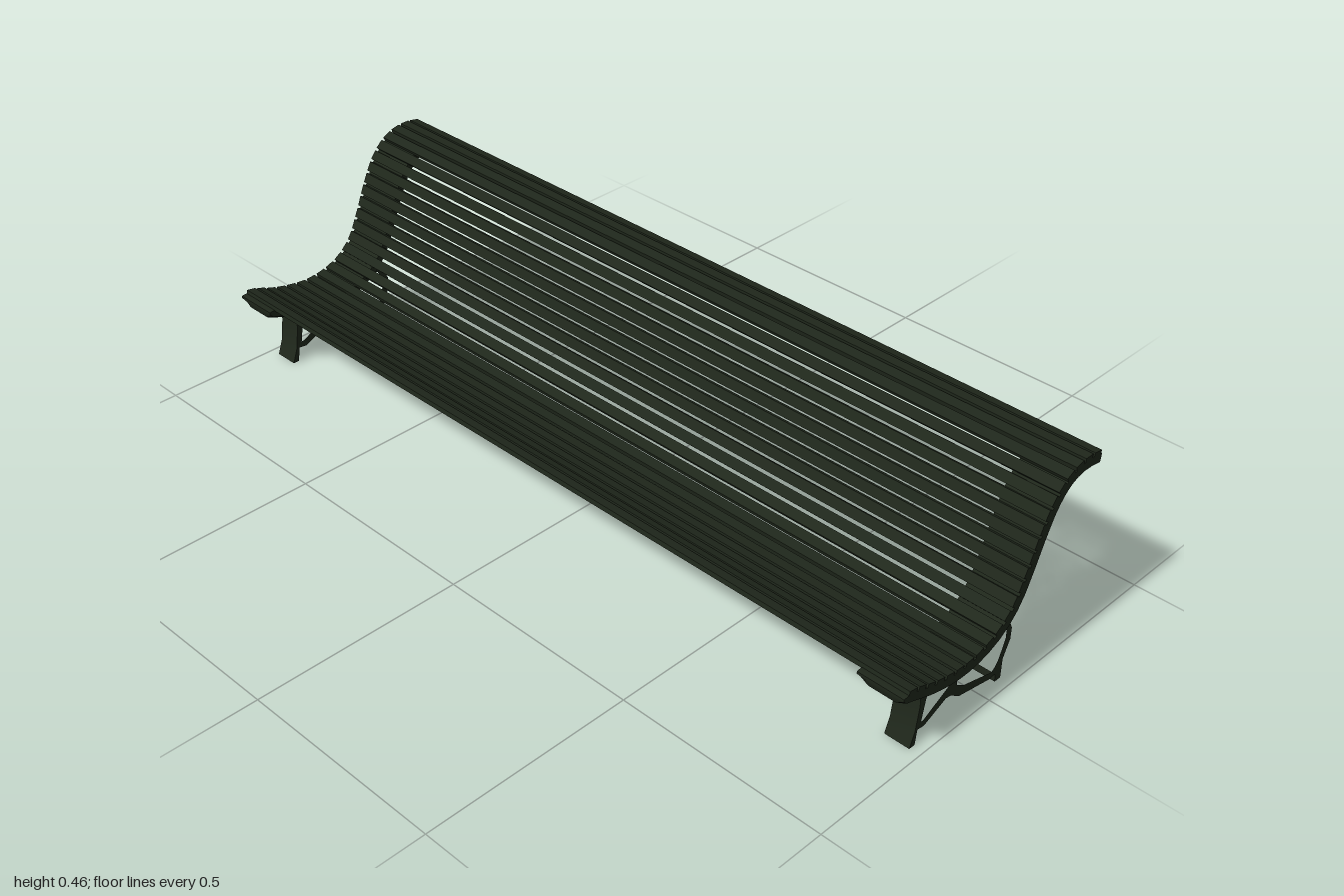
import * as THREE from 'three';
import { toCreasedNormals } from 'three/addons/utils/BufferGeometryUtils.js';

const material = new THREE.MeshStandardMaterial({ color: 0x1f271b });
const SLATS = 24, END_X = 0.945;

// S-shaped sitting line as [z, y], from the front lip to the top of the back
const line = new THREE.CatmullRomCurve3([
  [0.272, 0.193], [0.245, 0.188], [0.2, 0.171], [0.15, 0.158], [0.1, 0.152], [0.05, 0.157],
  [0, 0.176], [-0.04, 0.213], [-0.07, 0.272], [-0.1, 0.343], [-0.13, 0.4], [-0.165, 0.437],
  [-0.2, 0.454], [-0.24, 0.459], [-0.282, 0.453],
].map(([z, y]) => new THREE.Vector3(0, y, z)));

// Point on the line and the upward normal there
function frameAt(u) {
  const p = line.getPointAt(u), t = line.getTangentAt(u);
  return { p, t, n: new THREE.Vector3(0, -t.z, t.y) };
}

// Curved end rail: chamfered section swept along the sitting line
function railGeometry() {
  const section = [[-0.055, 0], [0.055, 0], [0.055, 0.6], [0.032, 1], [-0.032, 1], [-0.055, 0.6]];
  const steps = 26, count = section.length, pos = [], idx = [];
  // blunt nose at the front
  for (const [x, d] of section) pos.push(x, 0.183 - 0.009 * d, 0.285);
  for (let i = 0; i <= steps; i++) {
    const { p, n } = frameAt(i / steps);
    const depth = i === 0 ? 0.026 : 0.032;
    for (const [x, d] of section) {
      const q = p.clone().addScaledVector(n, -0.009 - depth * d);
      pos.push(x, q.y, q.z);
    }
  }
  for (let i = 0; i <= steps; i++) {
    for (let j = 0; j < count; j++) {
      const k = (j + 1) % count;
      const a = i * count + j, b = i * count + k, c = b + count, d = a + count;
      idx.push(a, b, c, a, c, d);
    }
  }
  const last = (steps + 1) * count;
  for (let j = 1; j < count - 1; j++) {
    idx.push(0, j + 1, j, last, last + j, last + j + 1);
  }
  const geo = new THREE.BufferGeometry();
  geo.setAttribute('position', new THREE.Float32BufferAttribute(pos, 3));
  geo.setIndex(idx);
  return toCreasedNormals(geo, 0.5);
}

// Cast leg: side outline with two openings, drawn as [z, y]
function legGeometry() {
  const points = (list) => list.map(([z, y]) => new THREE.Vector2(z, y));
  const shape = new THREE.Shape(points([
    [0.216, 0], [0.2, 0], [0.196, 0.036], [0.176, 0.033], [0.112, 0.061], [0.097, 0.058],
    [0.069, 0.039], [-0.031, 0.019], [-0.049, 0.021], [-0.051, 0], [-0.069, 0], [-0.069, 0.048],
    [-0.087, 0.088], [-0.087, 0.116], [-0.076, 0.139], [-0.055, 0.159], [-0.051, 0.182],
    [-0.02, 0.158], [0.035, 0.137], [0.1, 0.131], [0.19, 0.148], [0.198, 0.133],
    [0.195, 0.093], [0.203, 0.036],
  ]));
  shape.holes.push(
    new THREE.Path(points([
      [0.187, 0.05], [0.179, 0.05], [0.11, 0.087], [0.094, 0.098], [0.1, 0.118],
      [0.168, 0.132], [0.178, 0.1],
    ])),
    new THREE.Path(points([
      [0.081, 0.093], [0.081, 0.075], [0.056, 0.059], [-0.035, 0.034], [-0.046, 0.043],
      [-0.055, 0.057], [-0.07, 0.1], [-0.07, 0.12], [-0.057, 0.143], [-0.03, 0.152],
      [-0.02, 0.148], [0.035, 0.124], [0.068, 0.118],
    ])),
  );
  const width = 0.06;
  const geo = new THREE.ExtrudeGeometry(shape, { depth: width, bevelEnabled: false });
  geo.translate(0, 0, -width / 2);
  geo.rotateY(-Math.PI / 2);
  return toCreasedNormals(geo, 0.5);
}

export function createModel() {
  const bench = new THREE.Group();
  bench.name = 'bench';
  const add = (parent, name, geo) => {
    const mesh = new THREE.Mesh(geo, material);
    mesh.name = name;
    parent.add(mesh);
    return mesh;
  };

  // Long slats, evenly spaced along the sitting line
  const slats = new THREE.Group();
  slats.name = 'slats';
  bench.add(slats);
  const thick = 0.011, pitch = line.getLength() / SLATS;
  const slatGeo = new THREE.BoxGeometry(2, thick, pitch - 0.007);
  for (let i = 0; i < SLATS; i++) {
    const { p, t, n } = frameAt((i + 0.5) / SLATS);
    const slat = add(slats, 'slat', slatGeo);
    slat.position.copy(p).addScaledVector(n, -thick / 2);
    slat.rotation.x = Math.atan2(t.y, -t.z);
  }

  // End frames: rail and leg on each side
  const railGeo = railGeometry(), legGeo = legGeometry();
  for (const side of [1, -1]) {
    const end = new THREE.Group();
    end.name = side > 0 ? 'leftEndFrame' : 'rightEndFrame';
    end.position.x = side * END_X;
    add(end, 'rail', railGeo);
    add(end, 'leg', legGeo);
    bench.add(end);
  }
  return bench;
}
